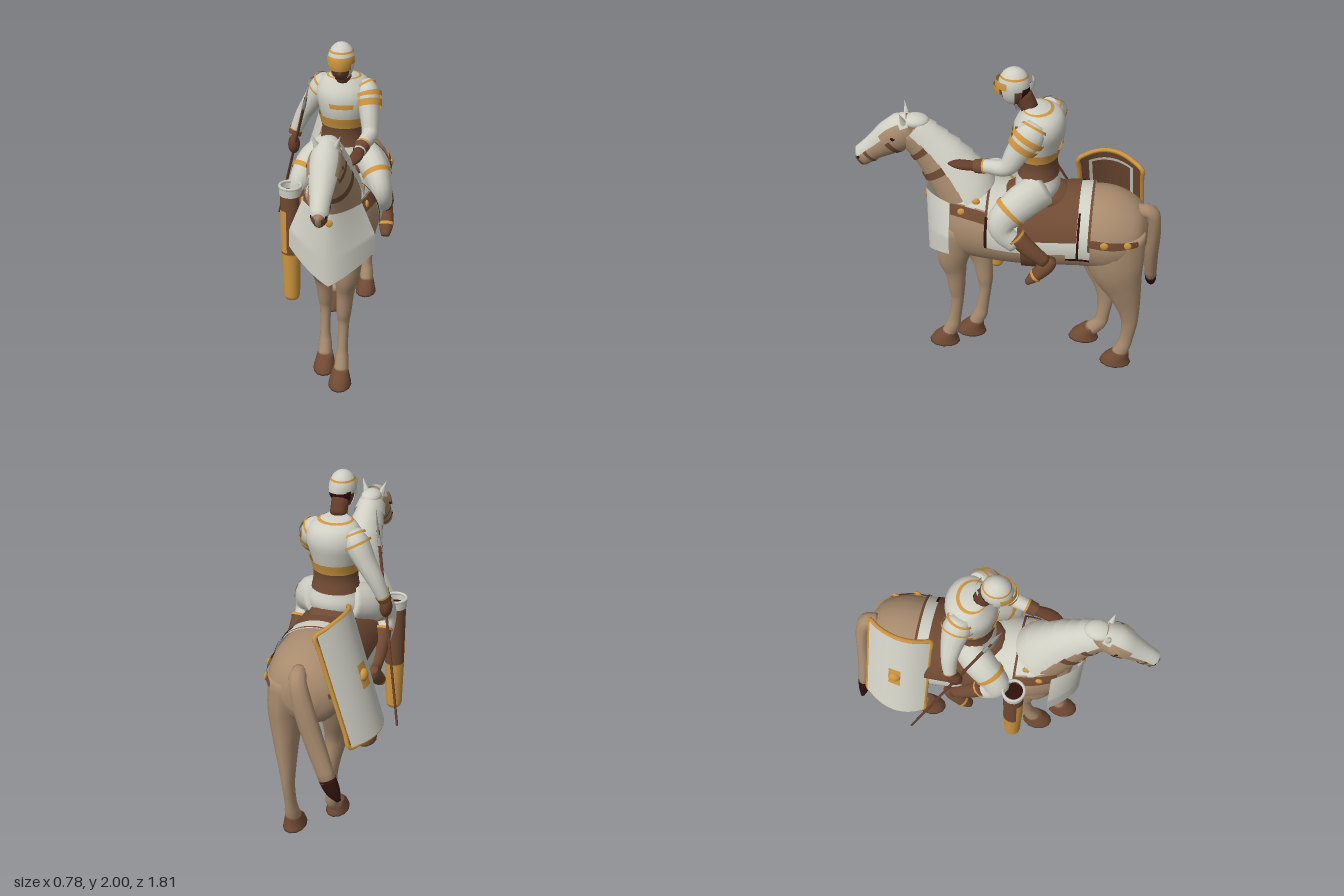
import * as THREE from 'three';
import { ParametricGeometry } from 'three/addons/geometries/ParametricGeometry.js';

const V = (x, y, z) => new THREE.Vector3(x, y, z);
const CX = 0.075; // middle of horse and rider
const rad = Math.PI / 180;

export function createModel() {
  const root = new THREE.Group();
  const mat = (name, color) => {
    const m = new THREE.MeshStandardMaterial({ color, side: THREE.DoubleSide });
    m.name = name;
    return m;
  };
  const white = mat('ivory plate', 0xcfcfc4), tan = mat('tan coat', 0xa88b6e), brown = mat('brown leather', 0x704a33);
  const gold = mat('gold trim', 0xcf9640), dark = mat('dark hair', 0x2e100c), steel = mat('steel', 0x9a9b98);
  const skin = mat('brown skin', 0x653d2a);

  const add = (name, geo, m, pos = [0, 0, 0], scale = [1, 1, 1]) => {
    const mesh = new THREE.Mesh(geo, m);
    mesh.name = name;
    mesh.position.set(...pos);
    mesh.scale.set(...scale);
    root.add(mesh);
    return mesh;
  };
  const ball = (name, m, pos, scale) => add(name, new THREE.SphereGeometry(1, 16, 12), m, pos, scale);

  // Smooth tube through sections [x, y, z, half width, half depth]; gives its surface point (t, angle, offset)
  const tube = (secs, axis) => {
    const centre = new THREE.CatmullRomCurve3(secs.map(s => V(s[0], s[1], s[2])), false, 'catmullrom', 0.5);
    const radius = new THREE.CatmullRomCurve3(secs.map(s => V(s[3], s[4], 0)), false, 'catmullrom', 0.5);
    const at = (t, a, off = 0) => {
      t = Math.min(1, Math.max(0, t));
      const T = axis ? axis.clone() : centre.getTangent(t);
      const S = V(1, 0, 0).addScaledVector(T, -T.x).normalize();
      const U = T.clone().cross(S);
      const r = radius.getPoint(t);
      return centre.getPoint(t).addScaledVector(S, Math.cos(a) * (Math.max(r.x, 0.003) + off))
        .addScaledVector(U, Math.sin(a) * (Math.max(r.y, 0.003) + off));
    };
    return { at, centre };
  };
  // Closed skin of a tube
  const loft = (name, secs, m, sides = 16, axis) => {
    const tb = tube(secs, axis), rows = (secs.length - 1) * 4, p = [], idx = [];
    for (let j = 0; j <= rows; j++)
      for (let i = 0; i < sides; i++) p.push(...tb.at(j / rows, i / sides * Math.PI * 2).toArray());
    p.push(...tb.centre.getPoint(0).toArray(), ...tb.centre.getPoint(1).toArray());
    const c0 = (rows + 1) * sides;
    for (let i = 0; i < sides; i++) {
      const k = (i + 1) % sides, e = rows * sides;
      for (let j = 0; j < rows; j++) {
        const a = j * sides + i, b = j * sides + k;
        idx.push(a, b, b + sides, a, b + sides, a + sides);
      }
      idx.push(c0, k, i, c0 + 1, e + i, e + k);
    }
    const g = new THREE.BufferGeometry();
    g.setAttribute('position', new THREE.Float32BufferAttribute(p, 3));
    g.setIndex(idx);
    g.computeVertexNormals();
    add(name, g, m);
    return tb;
  };
  const sheet = (name, f, nu, nv, m) =>
    add(name, new ParametricGeometry((u, v, out) => out.copy(f(u, v)), nu, nv), m);
  // Thin plate lying on part of a tube, angles in degrees
  const patch = (name, tb, t0, t1, a0, a1, off, m, flare = 0) =>
    sheet(name, (u, v) => tb.at(t0 + (t1 - t0) * v, (a0 + (a1 - a0) * u) * rad, off + flare * v), 20, 6, m);

  // Horse trunk
  const body = loft('horseBody', [
    [CX, 0.98, -0.82, 0.08, 0.08], [CX, 0.98, -0.76, 0.19, 0.18], [CX, 0.98, -0.62, 0.25, 0.25],
    [CX, 0.99, -0.45, 0.25, 0.245], [CX, 0.965, -0.2, 0.24, 0.245], [CX, 0.965, 0, 0.24, 0.245],
    [CX, 0.99, 0.2, 0.22, 0.265], [CX, 0.99, 0.33, 0.165, 0.25], [CX, 0.98, 0.42, 0.08, 0.16]], tan, 24, V(0, 0, 1));
  const tz = z => {
    let lo = 0, hi = 1;
    for (let i = 0; i < 24; i++) {
      const mid = (lo + hi) / 2;
      if (body.centre.getPoint(mid).z < z) lo = mid; else hi = mid;
    }
    return lo;
  };
  const wrap = (name, z0, z1, a0, a1, off, m) => patch(name, body, tz(z0), tz(z1), a0, a1, off, m);

  // Neck and head
  const neck = loft('horseNeck', [
    [CX, 1.1, 0.225, 0.17, 0.16], [CX, 1.21, 0.275, 0.15, 0.175], [CX, 1.36, 0.375, 0.11, 0.15],
    [CX, 1.47, 0.47, 0.085, 0.122], [CX, 1.555, 0.565, 0.075, 0.11]], tan, 18);
  const head = loft('horseHead', [
    [CX, 1.575, 0.54, 0.065, 0.09], [CX, 1.53, 0.63, 0.085, 0.105], [CX, 1.46, 0.72, 0.068, 0.085],
    [CX, 1.4, 0.8, 0.05, 0.065], [CX, 1.35, 0.86, 0.043, 0.058], [CX, 1.335, 0.893, 0.012, 0.03]], tan, 16);
  patch('faceGuard', head, 0, 0.92, 25, 155, 0.01, white);
  ball('pollGuard', white, [CX, 1.62, 0.53], [0.062, 0.04, 0.08]);
  patch('muzzle', head, 0.82, 1, 150, 390, 0.004, brown);
  patch('noseBand', head, 0.62, 0.67, 150, 390, 0.006, brown);
  patch('cheekStrap', head, 0.28, 0.34, 150, 390, 0.006, brown);
  patch('throatStrap', neck, 0.72, 0.79, 165, 375, 0.006, brown);
  patch('neckStrap', neck, 0.46, 0.53, 165, 375, 0.006, brown);
  for (let i = 0; i < 7; i++) {
    const t = 1 - i * 0.132;
    patch('neckPlate', neck, t, Math.max(t - 0.16, 0.03), 8, 172, 0.008, white, 0.012);
  }
  for (const s of [-1, 1]) {
    const ear = add('horseEar', new THREE.ConeGeometry(0.028, 0.11, 8), white, [CX + s * 0.058, 1.65, 0.595]);
    ear.rotation.set(0.2, 0, -s * 0.35);
    patch('eyeOpening', head, 0.1, 0.34, s > 0 ? 8 : 172, s > 0 ? 42 : 138, 0.013, tan);
    ball('horseEye', dark, [CX + s * 0.09, 1.54, 0.65], [0.009, 0.013, 0.014]);
    ball('nostril', dark, [CX + s * 0.034, 1.365, 0.875], [0.01, 0.012, 0.012]);
  }

  // Legs: left pair leads in front, trails behind
  const side = (s, x) => CX + s * (x - CX);
  for (const s of [1, -1]) {
    const f = s > 0 ? 0 : -0.155, h = s > 0 ? 0 : 0.16;
    loft('frontLeg', [
      [side(s, 0.16), 0.98, 0.28 + f * 0.3, 0.1, 0.13], [side(s, 0.16), 0.74, 0.33 + f * 0.7, 0.078, 0.1],
      [side(s, 0.15), 0.6, 0.32 + f * 0.9, 0.054, 0.066], [side(s, 0.142), 0.46, 0.318 + f, 0.045, 0.052],
      [side(s, 0.14), 0.37, 0.315 + f, 0.034, 0.038], [side(s, 0.138), 0.22, 0.335 + f, 0.032, 0.038],
      [side(s, 0.136), 0.15, 0.35 + f, 0.04, 0.045], [side(s, 0.135), 0.07, 0.385 + f, 0.045, 0.045]], tan, 12);
    loft('hindLeg', [
      [side(s, 0.19), 1.02, -0.62 + h * 0.1, 0.12, 0.19], [side(s, 0.21), 0.8, -0.65 + h * 0.6, 0.1, 0.165],
      [side(s, 0.2), 0.62, -0.705 + h, 0.07, 0.11], [side(s, 0.185), 0.46, -0.745 + h, 0.048, 0.07],
      [side(s, 0.178), 0.34, -0.76 + h, 0.036, 0.05], [side(s, 0.173), 0.21, -0.75 + h, 0.034, 0.042],
      [side(s, 0.173), 0.14, -0.735 + h, 0.042, 0.046], [side(s, 0.173), 0.07, -0.71 + h * 1.2, 0.045, 0.05]], tan, 12);
    for (const [x, z] of [[0.132, 0.405 + f], [0.173, -0.695 + h * 1.35]])
      loft('hoof', [[side(s, x), 0.095, z - 0.025, 0.047, 0.05], [side(s, x), 0.04, z, 0.062, 0.08],
        [side(s, x), 0, z + 0.005, 0.07, 0.098]], brown, 12, V(0, -1, 0));
  }

  // Tail with dark tip
  loft('tail', [[0.09, 1.13, -0.75, 0.04, 0.04], [0.075, 1.11, -0.83, 0.05, 0.045], [0.04, 0.97, -0.855, 0.06, 0.045],
    [-0.02, 0.75, -0.855, 0.06, 0.045], [-0.1, 0.51, -0.868, 0.052, 0.037]], tan, 10);
  loft('tailTip', [[-0.095, 0.525, -0.867, 0.054, 0.038], [-0.13, 0.45, -0.872, 0.045, 0.033], [-0.165, 0.395, -0.88, 0.015, 0.012]], dark, 10);

  // Chest armour
  sheet('chestPlate', (u, v) => {
    const s = u * 2 - 1, a = Math.abs(s);
    const hw = v < 0.65 ? 0.17 + 0.08 * v / 0.65 : 0.25;
    const yb = 0.72 + 0.15 * a;
    return V(CX - 0.005 + s * hw, 1.18 + (yb - 1.18) * v, 0.49 - 0.17 * Math.pow(a, 1.8));
  }, 24, 12, white);
  ball('chestDisc', gold, [CX, 1.125, 0.488], [0.022, 0.024, 0.008]);

  // Saddle cloth, saddle and harness
  wrap('saddleCloth', -0.36, 0.11, -8, 188, 0.012, white);
  wrap('rearBand', -0.5, -0.36, -18, 198, 0.012, white);
  wrap('shoulderCloth', 0.1, 0.32, 42, 138, 0.012, white);
  wrap('saddleFlap', -0.42, -0.08, 12, 168, 0.02, brown);
  wrap('frontEdge', 0.097, 0.111, 35, 145, 0.016, brown);
  wrap('rearStrap', -0.5, -0.485, 0, 180, 0.017, brown);
  wrap('girth', -0.19, -0.1, 172, 368, 0.014, brown);
  for (const m of [0, 1]) {
    const ang = a => m ? 180 - a : a;
    wrap('frontEdge', 0.095, 0.112, ang(-8), ang(35), 0.016, dark);
    wrap('clothHem', -0.5, -0.36, ang(-18), ang(-14), 0.016, dark);
    wrap('bandEdge', -0.435, -0.422, ang(-14), ang(50), 0.016, dark);
    wrap('breastStrap', 0.11, 0.35, ang(25), ang(40), 0.018, brown);
    wrap('rumpStrap', -0.79, -0.5, ang(6), ang(17), 0.012, brown);
    for (const [z, a] of [[0.17, 50], [0.25, 32], [0.33, 48], [-0.58, 12], [-0.71, 12]])
      ball('harnessDisc', gold, body.at(tz(z), ang(a) * rad, 0.012).toArray(), [z > 0 ? 0.013 : 0.01, 0.024, 0.024]);
  }
  ball('saddleSeat', brown, [CX, 1.2, -0.18], [0.15, 0.07, 0.21]);

  // Rider's torso: angle 270 is the chest
  const torso = loft('riderTorso', [
    [CX, 1.2, -0.16, 0.16, 0.12], [CX, 1.28, -0.17, 0.165, 0.13], [CX, 1.36, -0.17, 0.13, 0.11],
    [CX, 1.45, -0.165, 0.12, 0.105], [CX, 1.56, -0.165, 0.145, 0.135], [CX, 1.66, -0.175, 0.165, 0.145],
    [CX, 1.74, -0.18, 0.13, 0.11], [CX, 1.78, -0.14, 0.055, 0.05]], white, 20, V(0, 1, 0));
  patch('belt', torso, 0.27, 0.455, 0, 360, 0.01, brown);
  patch('beltTrim', torso, 0.455, 0.535, 0, 360, 0.012, gold);
  patch('chestOrnament', torso, 0.62, 0.66, 245, 295, 0.006, gold);
  patch('collar', torso, 0.925, 0.95, 0, 360, 0.006, gold);

  // Arms
  const leftArm = loft('leftArm', [[0.18, 1.72, -0.17, 0.05, 0.05], [0.215, 1.66, -0.135, 0.07, 0.085],
    [0.235, 1.56, -0.07, 0.058, 0.068], [0.245, 1.465, -0.01, 0.048, 0.052], [0.22, 1.445, 0.1, 0.04, 0.04],
    [0.205, 1.43, 0.17, 0.034, 0.034]], white, 12);
  const rightArm = loft('rightArm', [[-0.03, 1.72, -0.2, 0.05, 0.05], [-0.065, 1.66, -0.22, 0.07, 0.08],
    [-0.125, 1.56, -0.24, 0.058, 0.066], [-0.18, 1.47, -0.25, 0.048, 0.05], [-0.22, 1.38, -0.245, 0.038, 0.04],
    [-0.235, 1.34, -0.235, 0.034, 0.034]], white, 12);
  patch('sleeveBand', leftArm, 0.28, 0.34, 0, 360, 0.012, gold);
  for (const [arm, w] of [[leftArm, 0.05], [rightArm, 0.025]]) {
    patch('pauldronBand', arm, 0.2, 0.2 + w, 0, 360, 0.012, gold);
    patch('shoulderTrim', arm, 0.05, 0.09, 0, 360, 0.012, gold);
    patch('bracerTrim', arm, 0.82, 0.85, 0, 360, 0.006, gold);
    patch('bracer', arm, 0.85, 1, 0, 360, 0.005, brown);
  }
  loft('leftHand', [[0.205, 1.43, 0.16, 0.03, 0.03], [0.195, 1.425, 0.24, 0.038, 0.024], [0.18, 1.42, 0.29, 0.034, 0.018], [0.17, 1.415, 0.33, 0.015, 0.01]], skin, 10);
  ball('rightHand', skin, [-0.235, 1.285, -0.215], [0.036, 0.06, 0.045]);

  // Legs and boots
  for (const s of [1, -1]) {
    const leg = loft('riderLeg', [[side(s, 0.16), 1.28, -0.2, 0.09, 0.11], [side(s, 0.25), 1.24, -0.1, 0.09, 0.105],
      [side(s, 0.31), 1.15, 0, 0.07, 0.088], [side(s, 0.33), 1.07, 0, 0.056, 0.068], [side(s, 0.333), 1.0, -0.08, 0.048, 0.06]], white, 14);
    patch('thighTrim', leg, 0.37, 0.41, 0, 360, 0.006, gold);
    const boot = loft('boot', [[side(s, 0.335), 1.06, -0.07, 0.048, 0.056], [side(s, 0.34), 0.97, -0.16, 0.045, 0.05],
      [side(s, 0.335), 0.89, -0.25, 0.036, 0.04]], brown, 12);
    patch('bootCuff', boot, 0, 0.06, 0, 360, 0.006, gold);
    const foot = loft('foot', [[side(s, 0.335), 0.91, -0.29, 0.028, 0.025], [side(s, 0.335), 0.86, -0.26, 0.04, 0.045],
      [side(s, 0.34), 0.78, -0.19, 0.043, 0.035], [side(s, 0.34), 0.73, -0.145, 0.025, 0.018]], brown, 12);
    patch('footStrap', foot, 0.6, 0.66, 0, 360, 0.004, gold);
  }

  // Rider's head and helmet
  loft('riderNeck', [[CX, 1.75, -0.12, 0.05, 0.05], [CX, 1.86, -0.07, 0.05, 0.05]], skin, 12);
  ball('riderHead', skin, [CX, 1.87, -0.03], [0.064, 0.092, 0.075]);
  add('nose', new THREE.ConeGeometry(0.014, 0.04, 6), skin, [CX, 1.855, 0.045]);
  const cap = (name, m, p0, p1, t0, t1, sc) => add(name, new THREE.SphereGeometry(1, 20, 10,
    p0 * Math.PI, (p1 - p0) * Math.PI, t0 * Math.PI, (t1 - t0) * Math.PI), m, [CX, 1.9, -0.03], sc);
  cap('helmetDome', white, 0, 2, 0, 0.55, [0.078, 0.1, 0.088]);
  cap('domeBand', gold, 0, 2, 0.3, 0.34, [0.08, 0.102, 0.09]);
  cap('visor', gold, 0.1, 0.9, 0.4, 0.52, [0.083, 0.11, 0.105]);
  cap('visorPeak', gold, 0.22, 0.78, 0.5, 0.6, [0.083, 0.13, 0.115]);
  cap('helmetBack', dark, 1.2, 1.8, 0.5, 0.75, [0.08, 0.104, 0.091]);
  cap('neckGuard', white, 1.3, 1.7, 0.4, 0.5, [0.085, 0.12, 0.115]);
  for (const p of [-0.04, 0.76]) cap('cheekGuard', white, p, p + 0.28, 0.5, 0.8, [0.077, 0.125, 0.09]);

  // Spear: the blade lies in the plane of its lean
  const tip = V(-0.1, 1.77, 0.03), butt = V(-0.385, 0.68, -0.48);
  const reach = tip.clone().sub(butt), len = reach.length(), dir = reach.clone().normalize();
  const wide = V(0, -dir.z, dir.y).normalize();
  const turn = new THREE.Matrix4().makeBasis(wide, dir, wide.clone().cross(dir).normalize());
  const onSpear = (name, geo, m, t) => {
    const mesh = add(name, geo, m, butt.clone().addScaledVector(reach, t).toArray());
    mesh.quaternion.setFromRotationMatrix(turn);
    return mesh;
  };
  onSpear('spearShaft', new THREE.CylinderGeometry(0.009, 0.007, len * 0.9, 8), skin, 0.45);
  onSpear('spearHead', new THREE.ConeGeometry(0.034, 0.17, 4), steel, 0.932).scale.z = 0.25;
  onSpear('spearSocket', new THREE.CylinderGeometry(0.011, 0.012, 0.06, 8), steel, 0.85);

  // Quiver
  const qx = -0.203, qz = 0.12;
  add('quiverBody', new THREE.CylinderGeometry(0.062, 0.057, 0.4, 20, 1, true), brown, [qx, 0.92, qz]);
  add('quiverRim', new THREE.CylinderGeometry(0.069, 0.066, 0.06, 20, 1, true), white, [qx, 1.14, qz]);
  add('quiverLip', new THREE.TorusGeometry(0.063, 0.009, 8, 20).rotateX(Math.PI / 2), white, [qx, 1.165, qz]);
  add('quiverInside', new THREE.CircleGeometry(0.062, 20).rotateX(-Math.PI / 2), dark, [qx, 1.12, qz]);
  add('quiverFoot', new THREE.LatheGeometry([[0, 0.4], [0.04, 0.405], [0.05, 0.43], [0.058, 0.72], [0.062, 0.73]]
    .map(p => new THREE.Vector2(...p)), 20), gold, [qx, 0, qz]);
  add('quiverStripe', new THREE.CylinderGeometry(0.066, 0.062, 0.28, 8, 1, true, 5.2, 0.8), gold, [qx, 0.88, qz]);

  // Curved shield leaning on the rump
  const shield = (u, v, off) => V(
    -0.035 - 0.033 * u - 0.068 * (1 - u * u) - 0.2 * v - off, 1.4 - 0.05 * u * u * (1 - v) - 0.69 * v + off * 0.3, -0.572 + 0.185 * u - 0.04 * v);
  const plate = (name, u0, u1, v0, v1, off, m) =>
    sheet(name, (u, v) => shield(u0 + (u1 - u0) * u, v0 + (v1 - v0) * v, off), 16, 8, m);
  plate('shieldFace', -1, 1, 0, 1, 0.014, white);
  plate('shieldBack', -1, 1, 0, 1, -0.005, brown);
  plate('shieldBackBar', -0.7, 0.7, 0.07, 0.1, -0.012, white);
  for (const u of [-0.7, 0.6]) plate('shieldBackStripe', u, u + 0.1, 0.07, 0.9, -0.012, white);
  plate('bossPlate', -0.2, 0.2, 0.4, 0.6, 0.02, gold);
  const rim = [];
  for (let i = 0; i < 8; i++) rim.push(shield(-1 + i / 4, 0, 0));
  for (let i = 0; i < 8; i++) rim.push(shield(1, i / 8, 0));
  for (let i = 0; i < 8; i++) rim.push(shield(1 - i / 4, 1, 0));
  for (let i = 0; i < 8; i++) rim.push(shield(-1, 1 - i / 8, 0));
  add('shieldRim', new THREE.TubeGeometry(new THREE.CatmullRomCurve3(rim, true), 96, 0.014, 6, true), gold);
  ball('shieldBoss', gold, shield(0, 0.5, 0.015).toArray(), [0.028, 0.038, 0.038]);

  return root;
}
